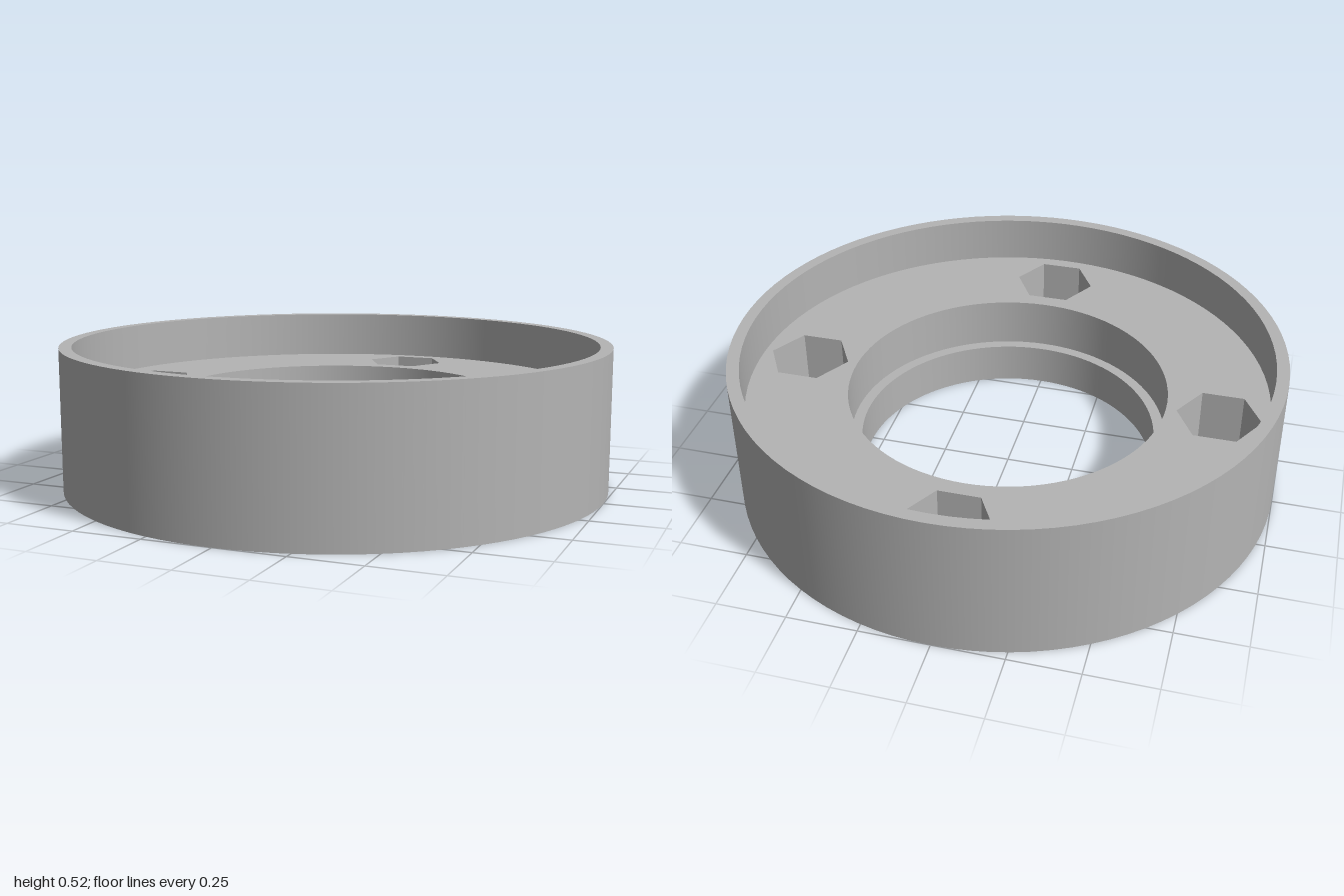
import * as THREE from 'three';

const SEG = 96;                                // facets of the large circles
const R_OUT = 1, R_RIM = 0.955, R_BORE = 0.585, R_LIP = 0.545;
const Y_TOP = 0.52, Y_FLOOR = 0.345, Y_LEDGE = 0.158;
const BOLT_RADIUS = 0.775;                     // distance of the bolt holes from the axis
const NUT_R = 0.152, HALF = 0.076, HOLE_R = 0.0755;
const NUT_FLAT = NUT_R * Math.sqrt(3) / 2;
const Y_NUT = 0.108, Y_SLOT = 0.097, Y_SQUARE = 0.086;

// Counter-clockwise regular polygon, seen from above
function polygon(radius, sides, cx = 0, cy = 0) {
  const pts = [];
  for (let i = 0; i < sides; i++) {
    const a = (i / sides) * Math.PI * 2;
    pts.push(new THREE.Vector2(cx + radius * Math.cos(a), cy + radius * Math.sin(a)));
  }
  return pts;
}

function rectangle(x0, x1, y0, y1) {
  return [[x0, y0], [x1, y0], [x1, y1], [x0, y1]].map(p => new THREE.Vector2(...p));
}

// Horizontal flat face with holes
function face(outline, holes, y, up = true) {
  const shape = new THREE.Shape(outline);
  shape.holes = holes.map(h => new THREE.Path(h));
  return new THREE.ShapeGeometry(shape).rotateX(up ? -Math.PI / 2 : Math.PI / 2).translate(0, y, 0);
}

// Flat-sided vertical wall that faces into the opening
function innerWall(points, y0, y1) {
  const pos = [];
  points.forEach((a, i) => {
    const b = points[(i + 1) % points.length];
    const [b0, a0, a1, b1] = [[b, y0], [a, y0], [a, y1], [b, y1]].map(([p, y]) => [p.x, y, -p.y]);
    pos.push(...b0, ...a0, ...a1, ...b0, ...a1, ...b1);
  });
  const g = new THREE.BufferGeometry();
  g.setAttribute('position', new THREE.Float32BufferAttribute(pos, 3));
  g.computeVertexNormals();
  return g;
}

// Smooth round wall: going up faces outwards, going down faces inwards
function roundWall(radius, yFrom, yTo, segments = SEG) {
  const g = new THREE.LatheGeometry([new THREE.Vector2(radius, yFrom), new THREE.Vector2(radius, yTo)], segments);
  return g.rotateY(Math.PI / 2);
}

export function createModel() {
  const model = new THREE.Group();
  model.name = 'flangeRing';
  const grey = new THREE.MeshStandardMaterial({ color: 0xb4b4b4 });
  grey.name = 'plain grey';

  const add = (parent, name, geometry) => {
    const mesh = new THREE.Mesh(geometry, grey);
    mesh.name = name;
    parent.add(mesh);
  };

  const centres = [[BOLT_RADIUS, 0], [0, BOLT_RADIUS], [-BOLT_RADIUS, 0], [0, -BOLT_RADIUS]];
  const circle = r => polygon(r, SEG);

  // Ring body
  add(model, 'outerWall', roundWall(R_OUT, 0, Y_TOP));
  add(model, 'rimTop', face(circle(R_OUT), [circle(R_RIM)], Y_TOP));
  add(model, 'rimInnerWall', roundWall(R_RIM, Y_TOP, Y_FLOOR));
  add(model, 'recessFloor', face(circle(R_RIM),
    [circle(R_BORE), ...centres.map(c => polygon(NUT_R, 6, ...c))], Y_FLOOR));
  add(model, 'upperBore', roundWall(R_BORE, Y_FLOOR, Y_LEDGE));
  add(model, 'boreLedge', face(circle(R_BORE), [circle(R_LIP)], Y_LEDGE));
  add(model, 'lowerBore', roundWall(R_LIP, Y_LEDGE, 0));
  add(model, 'underside', face(circle(R_OUT),
    [circle(R_LIP), ...centres.map(c => polygon(HOLE_R, 32, ...c))], 0, false));

  // Nut pockets, stepping from hexagon to slot to square to round hole
  const hexagon = polygon(NUT_R, 6);
  const slot = rectangle(-HALF, HALF, -NUT_FLAT, NUT_FLAT);
  const square = rectangle(-HALF, HALF, -HALF, HALF);
  for (const [x, y] of centres) {
    const pocket = new THREE.Group();
    pocket.name = 'nutPocket';
    pocket.position.set(x, 0, -y);
    add(pocket, 'hexagonWall', innerWall(hexagon, Y_NUT, Y_FLOOR));
    add(pocket, 'slotWall', innerWall(slot, Y_SLOT, Y_NUT));
    add(pocket, 'squareWall', innerWall(square, Y_SQUARE, Y_SLOT));
    add(pocket, 'boltHoleWall', roundWall(HOLE_R, Y_SQUARE, 0, 32));
    add(pocket, 'squareFloor', face(square, [polygon(HOLE_R, 32)], Y_SQUARE));
    for (const s of [1, -1]) {
      const tip = [[s * NUT_R, 0], [s * HALF, s * NUT_FLAT], [s * HALF, -s * NUT_FLAT]];
      add(pocket, 'hexagonFloor', face(tip.map(p => new THREE.Vector2(...p)), [], Y_NUT));
      const [y0, y1] = s > 0 ? [HALF, NUT_FLAT] : [-NUT_FLAT, -HALF];
      add(pocket, 'slotFloor', face(rectangle(-HALF, HALF, y0, y1), [], Y_SLOT));
    }
    model.add(pocket);
  }
  return model;
}
